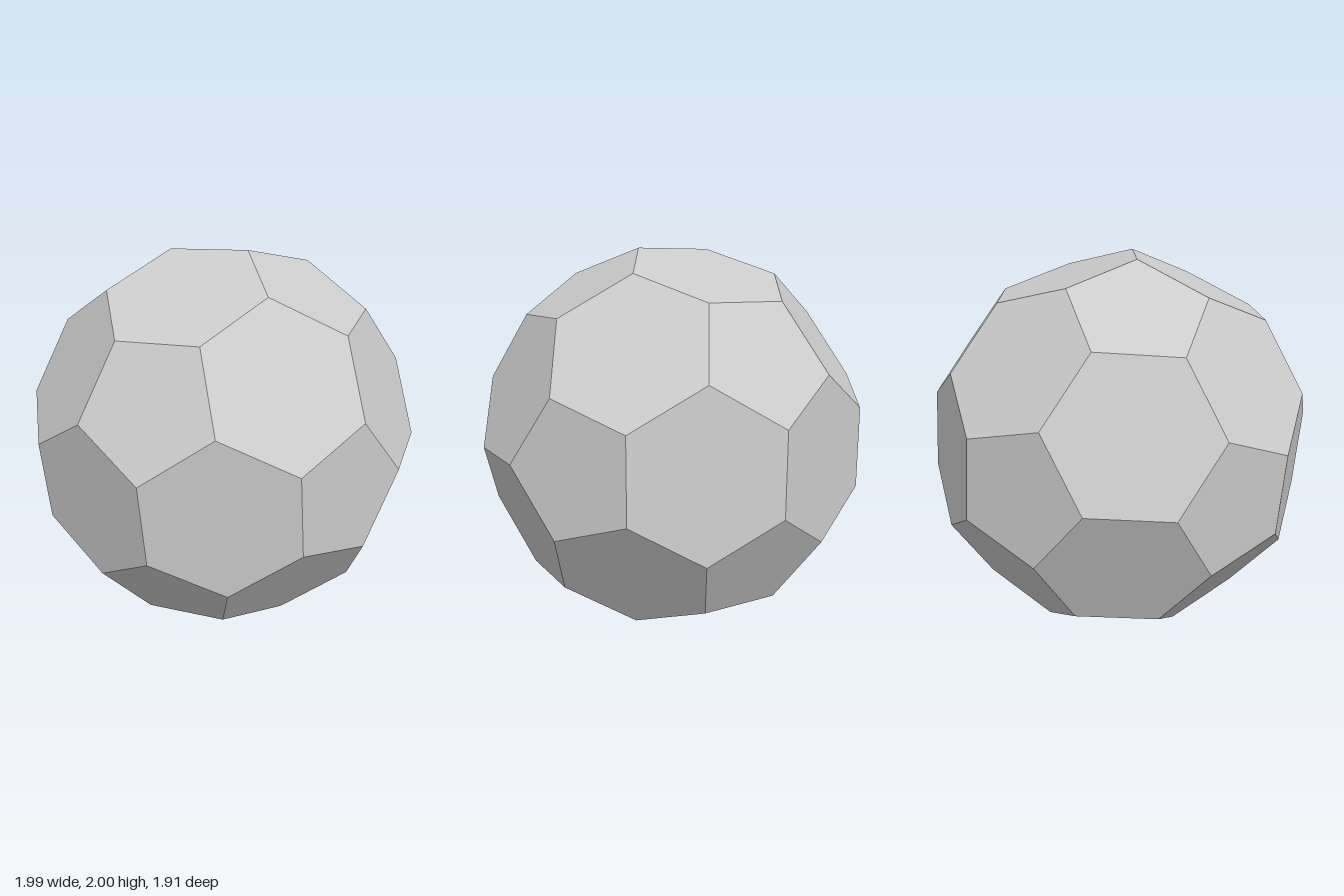
import * as THREE from 'three';

const RADIUS = 1.169; // circumradius of the icosahedron before its corners are cut
const TWIST = THREE.MathUtils.degToRad(4.77); // roll about the z axis

// Icosahedron corners: two poles on the z axis and two staggered rings of five
function icosahedronCorners() {
  const corners = [];
  for (const side of [1, -1]) {
    corners.push(new THREE.Vector3(0, 0, side * RADIUS));
    for (let k = 0; k < 5; k++) {
      const a = TWIST + (k * 2 + (side < 0 ? 1 : 0)) * Math.PI / 5;
      corners.push(new THREE.Vector3(2 * Math.cos(a), 2 * Math.sin(a), side)
        .multiplyScalar(RADIUS / Math.sqrt(5)));
    }
  }
  return corners;
}

// Flat convex panel: sort the points counter-clockwise around the outward normal, then fan
function panel(points, name, material) {
  const centre = points.reduce((s, p) => s.add(p), new THREE.Vector3()).divideScalar(points.length);
  const normal = centre.clone().normalize();
  const u = points[0].clone().sub(centre).normalize();
  const v = normal.clone().cross(u);
  const angle = (p) => {
    const d = p.clone().sub(centre);
    return Math.atan2(d.dot(v), d.dot(u));
  };
  const rim = [...points].sort((a, b) => angle(a) - angle(b));
  const triangles = [];
  for (let i = 1; i < rim.length - 1; i++) triangles.push(rim[0], rim[i], rim[i + 1]);
  const geometry = new THREE.BufferGeometry().setFromPoints(triangles);
  geometry.computeVertexNormals();
  const mesh = new THREE.Mesh(geometry, material);
  mesh.name = name;
  return mesh;
}

export function createModel() {
  const ball = new THREE.Group();
  ball.name = 'ball';
  const material = new THREE.MeshStandardMaterial({ color: 0xcccccc, flatShading: true });
  const corners = icosahedronCorners();
  const near = (a, b) => a !== b && a.distanceTo(b) < RADIUS * 1.2;
  // Point a third of the way along an edge
  const cut = (a, b) => a.clone().lerp(b, 1 / 3);

  // Twelve pentagons where the corners are cut off
  const pentagons = new THREE.Group();
  pentagons.name = 'pentagonPanels';
  for (const a of corners) {
    const points = corners.filter((b) => near(a, b)).map((b) => cut(a, b));
    pentagons.add(panel(points, 'pentagonPanel', material));
  }

  // Twenty hexagons left over from the triangular faces
  const hexagons = new THREE.Group();
  hexagons.name = 'hexagonPanels';
  corners.forEach((a, i) => corners.forEach((b, j) => corners.forEach((c, k) => {
    if (i < j && j < k && near(a, b) && near(b, c) && near(a, c)) {
      const points = [cut(a, b), cut(b, a), cut(b, c), cut(c, b), cut(c, a), cut(a, c)];
      hexagons.add(panel(points, 'hexagonPanel', material));
    }
  })));

  ball.add(pentagons, hexagons);
  ball.position.y = 1;
  const model = new THREE.Group();
  model.name = 'truncatedIcosahedron';
  model.add(ball);
  return model;
}
